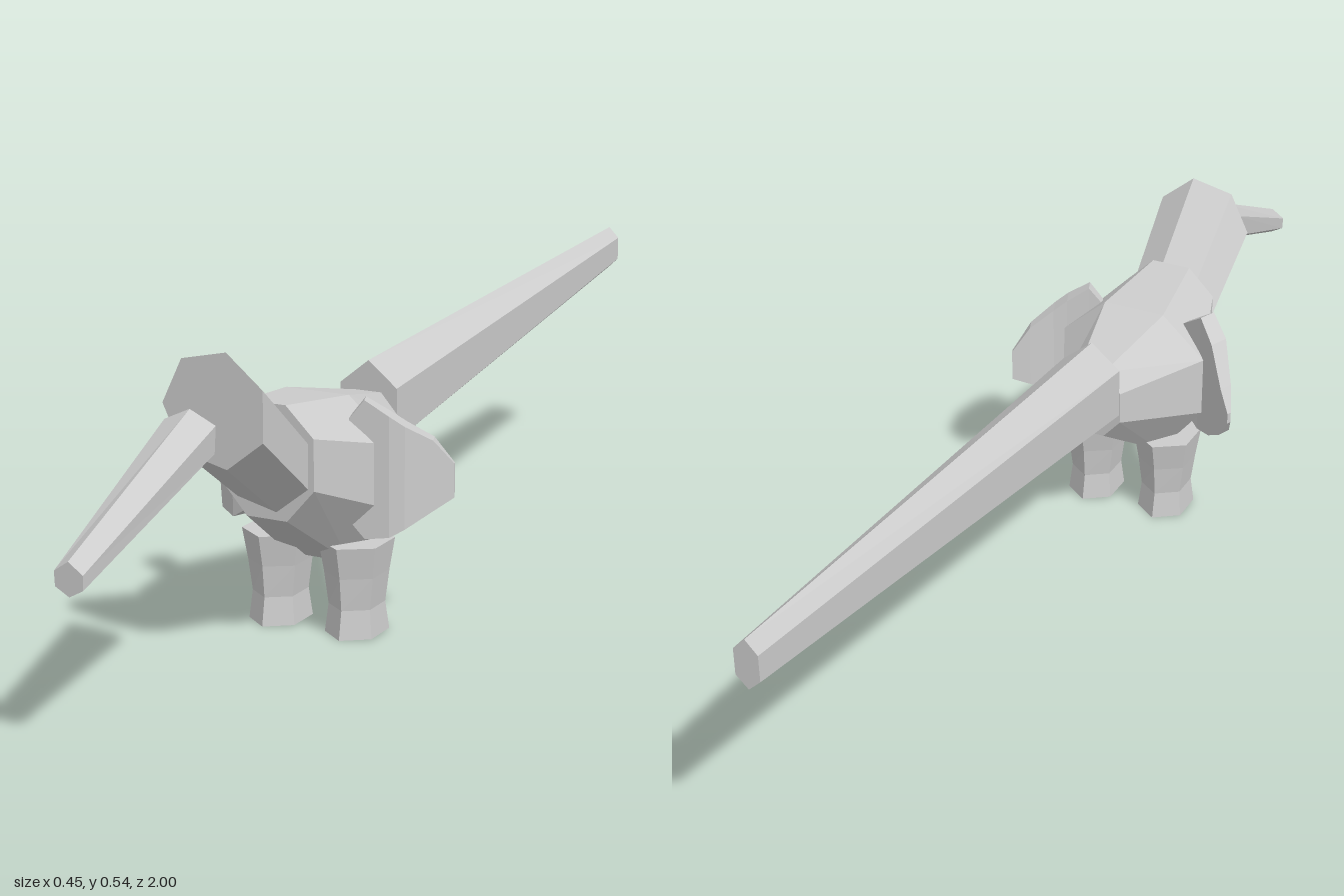
import * as THREE from 'three';

const grey = new THREE.MeshStandardMaterial({ color: 0xcccccc });
grey.name = 'plainGrey';
grey.flatShading = true;

// Closed, faceted solid through rings of equal point count.
function loft(name, rings) {
  const tris = [];
  const n = rings[0].length;
  for (let r = 0; r < rings.length - 1; r++) {
    for (let i = 0; i < n; i++) {
      const j = (i + 1) % n;
      const a = rings[r][i], b = rings[r][j], c = rings[r + 1][j], d = rings[r + 1][i];
      tris.push([a, b, c], [a, c, d]);
    }
  }
  const first = rings[0], last = rings[rings.length - 1];
  for (let i = 1; i < n - 1; i++) {
    tris.push([first[0], first[i + 1], first[i]], [last[0], last[i], last[i + 1]]);
  }
  // Turn the faces outward whichever way the rings run
  const volume = tris.reduce((sum, [a, b, c]) => sum + a.dot(b.clone().cross(c)), 0);
  const points = tris.flatMap(([a, b, c]) => (volume < 0 ? [a, c, b] : [a, b, c]));
  const geometry = new THREE.BufferGeometry().setFromPoints(points);
  geometry.computeVertexNormals();
  const mesh = new THREE.Mesh(geometry, grey);
  mesh.name = name;
  return mesh;
}

const v = (x, y, z) => new THREE.Vector3(x, y, z);

// Regular ring facing along z
function roundRing(n, radius, y, z, start) {
  return Array.from({ length: n }, (_, i) => {
    const a = start + (i / n) * Math.PI * 2;
    return v(Math.cos(a) * radius, y + Math.sin(a) * radius, z);
  });
}

// Hexagon with a point at the top and bottom
const hexRing = (z, w, top, upper, lower, bottom, wLow = w) => [
  v(0, top, z), v(w, upper, z), v(wLow, lower, z),
  v(0, bottom, z), v(-wLow, lower, z), v(-w, upper, z),
];

// Octagon with flat top, bottom and sides
const octRing = (z, w, inner, top, upper, lower, bottom) => [
  v(inner, top, z), v(w, upper, z), v(w, lower, z), v(inner, bottom, z),
  v(-inner, bottom, z), v(-w, lower, z), v(-w, upper, z), v(-inner, top, z),
];

// Curved plate: stations are [x, front z, low y, high y, thickness]
function wing(name, stations) {
  return loft(name, stations.map(([x, z, low, high, t]) => {
    const back = x - Math.sign(x) * t * 0.4;
    return [v(x, low, z), v(x, high, z), v(back, high, z - t), v(back, low, z - t)];
  }));
}

function leg(name, x) {
  const levels = [[0, 0.052, 0.064], [0.05, 0.046, 0.055], [0.107, 0.054, 0.06], [0.163, 0.063, 0.071]];
  return loft(name, levels.map(([y, rx, rz]) =>
    Array.from({ length: 6 }, (_, i) => {
      const a = (i / 6) * Math.PI * 2;
      return v(x + Math.sin(a) * rx, y, 0.293 + Math.cos(a) * rz);
    })));
}

export function createModel() {
  const model = new THREE.Group();
  model.name = 'bird';

  model.add(loft('body', [
    octRing(0.46, 0.089, 0.038, 0.428, 0.378, 0.291, 0.233),
    octRing(0.29, 0.145, 0.06, 0.41, 0.335, 0.222, 0.117),
    octRing(0.11, 0.058, 0.025, 0.37, 0.332, 0.272, 0.235),
  ]));

  // Seven-sided head and neck, slanting down into the body
  const start = THREE.MathUtils.degToRad(25);
  model.add(loft('head', [
    roundRing(7, 0.096, 0.45, 0.61, start),
    roundRing(7, 0.086, 0.316, 0.44, start),
  ]));

  // Beak, set apart from the head
  model.add(loft('beak', [
    hexRing(1.0, 0.025, 0.32, 0.303, 0.28, 0.267, 0.024),
    hexRing(0.68, 0.046, 0.468, 0.447, 0.403, 0.385, 0.043),
  ]));

  model.add(loft('tail', [
    hexRing(0.11, 0.056, 0.425, 0.38, 0.287, 0.242),
    hexRing(-1.0, 0.021, 0.492, 0.47, 0.424, 0.404),
  ]));

  for (const side of [-1, 1]) model.add(leg(side > 0 ? 'leftLeg' : 'rightLeg', side * 0.075));

  // The wings are deliberately uneven
  model.add(wing('leftWing', [
    [0.09, 0.345, 0.21, 0.385, 0.02], [0.115, 0.338, 0.18, 0.418, 0.025],
    [0.155, 0.327, 0.185, 0.392, 0.035], [0.176, 0.312, 0.198, 0.374, 0.035],
    [0.206, 0.268, 0.222, 0.344, 0.025], [0.226, 0.228, 0.238, 0.297, 0.008],
  ]));
  model.add(wing('rightWing', [
    [-0.09, 0.345, 0.215, 0.38, 0.02], [-0.146, 0.33, 0.18, 0.418, 0.032],
    [-0.181, 0.308, 0.187, 0.381, 0.035], [-0.213, 0.262, 0.217, 0.315, 0.025],
    [-0.228, 0.23, 0.255, 0.275, 0.008],
  ]));

  return model;
}
